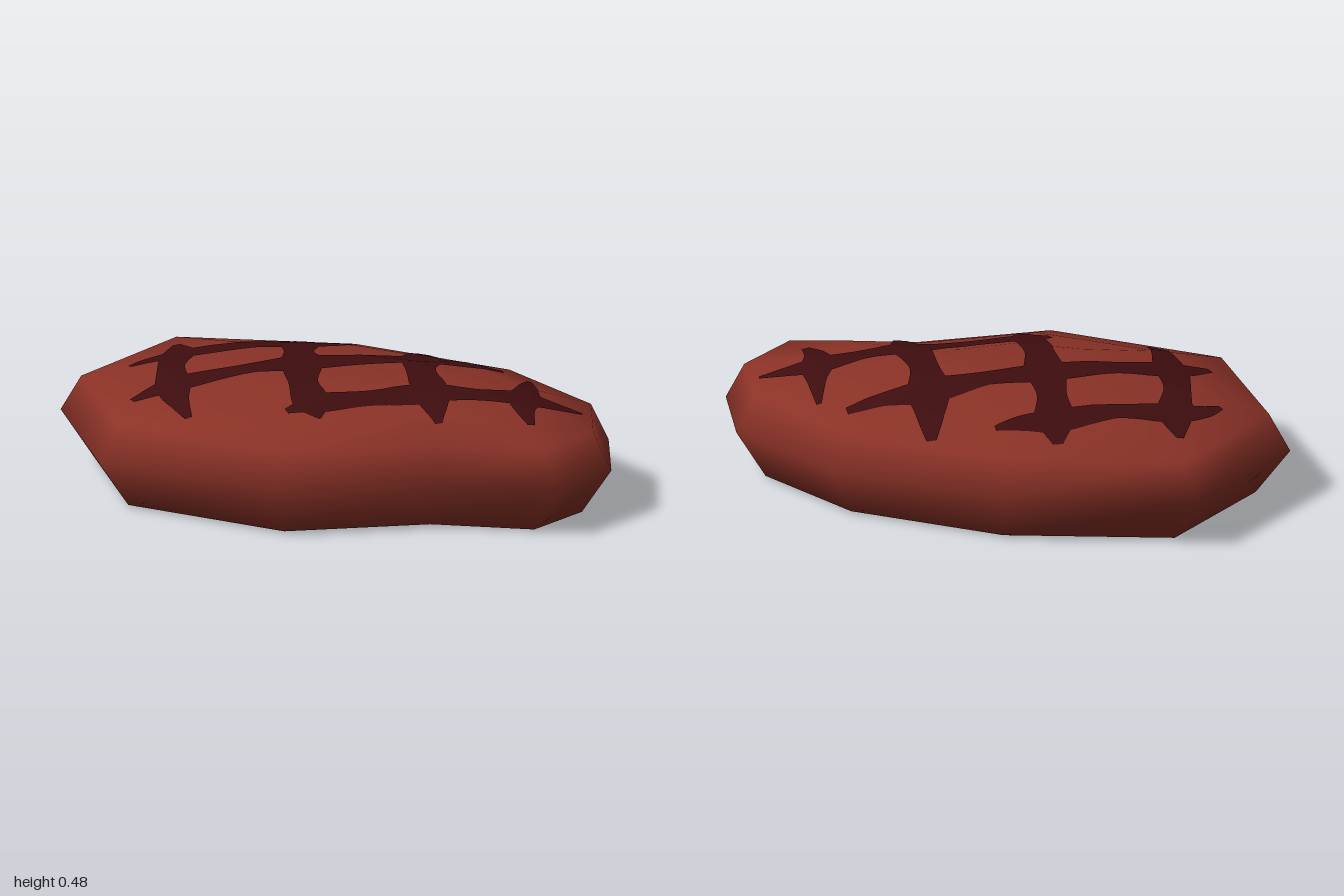
import * as THREE from 'three';

const meat = new THREE.MeshStandardMaterial({ color: 0x8b3227 });
meat.name = 'seared meat';
const char = new THREE.MeshStandardMaterial({ color: 0x3f0d0f });
char.name = 'grill char';

// Outline at the widest level, x and z, clockwise from above
const OUTLINE = [
  [-0.33, -1], [0.35, -0.63], [0.84, -0.07], [1, 0.48], [0.87, 0.84],
  [0.58, 0.99], [0.17, 0.75], [-0.48, 0.6], [-1, 0], [-0.9, -0.67],
];
const CX = 0.06, CZ = 0.1;
// Rings from bottom to top: x scale, z scale, height
const RINGS = [
  [0.885, 0.885, 0.01], [1, 1, 0.2], [0.93, 0.93, 0.35], [0.68, 0.66, 0.415], [0.37, 0.28, 0.47],
];

function steakGeometry() {
  const n = OUTLINE.length, pos = [], idx = [];
  for (const [fx, fz, y] of RINGS)
    for (const [x, z] of OUTLINE) pos.push(CX + (x - CX) * fx, y, CZ + (z - CZ) * fz);
  const bottom = pos.length / 3, top = bottom + 1, last = (RINGS.length - 1) * n;
  pos.push(CX, 0.01, CZ, CX, 0.474, CZ);
  for (let i = 0; i < n; i++) {
    const j = (i + 1) % n;
    for (let r = 0; r < last; r += n) {
      const a = r + i, b = r + j;
      idx.push(a, a + n, b, b, a + n, b + n);
    }
    idx.push(bottom, i, j, top, last + j, last + i);
  }
  return makeGeometry(pos, idx);
}

function makeGeometry(pos, idx) {
  const g = new THREE.BufferGeometry();
  g.setAttribute('position', new THREE.Float32BufferAttribute(pos, 3));
  g.setIndex(idx);
  g.computeVertexNormals();
  return g;
}

// Grill bars: x, z and width along each bar, wider where bars cross
const BARS = {
  crossBarBack: [[-0.65, -0.55, 0.03], [-0.56, -0.57, 0.09], [-0.42, -0.56, 0.15], [-0.2, -0.5, 0.12], [0.04, -0.46, 0.16], [0.16, -0.42, 0.11], [0.28, -0.4, 0.03]],
  crossBarMiddle: [[-0.79, -0.17, 0.04], [-0.6, -0.18, 0.16], [-0.36, -0.14, 0.12], [-0.09, -0.1, 0.18], [0.15, -0.05, 0.13], [0.39, -0.02, 0.17], [0.55, 0.03, 0.11], [0.71, 0.07, 0.05]],
  crossBarFront: [[-0.32, 0.32, 0.04], [-0.2, 0.32, 0.13], [0.02, 0.35, 0.11], [0.27, 0.4, 0.16], [0.45, 0.45, 0.11], [0.63, 0.49, 0.16], [0.73, 0.54, 0.1], [0.84, 0.6, 0.02]],
  longBarRight: [[-0.37, -0.75, 0.03], [-0.43, -0.58, 0.14], [-0.54, -0.38, 0.11], [-0.61, -0.18, 0.14], [-0.66, 0, 0.09], [-0.67, 0.14, 0.03]],
  longBarMiddle: [[0.1, -0.6, 0.04], [0.04, -0.45, 0.16], [-0.03, -0.28, 0.12], [-0.09, -0.1, 0.17], [-0.17, 0.12, 0.12], [-0.21, 0.32, 0.14], [-0.22, 0.43, 0.01]],
  longBarLeft: [[0.52, -0.31, 0.04], [0.46, -0.18, 0.11], [0.39, -0.02, 0.17], [0.32, 0.16, 0.12], [0.27, 0.4, 0.15], [0.22, 0.61, 0.03]],
  shortBarLeft: [[0.77, 0.2, 0.02], [0.7, 0.36, 0.08], [0.63, 0.5, 0.14], [0.59, 0.6, 0.09], [0.57, 0.73, 0.03]],
};

// Ribbon that follows a bar and takes its height from the surface below it
function barGeometry(points, heightAt, flip) {
  const curve = new THREE.CatmullRomCurve3(points.map(([x, z, w]) => new THREE.Vector3(x, w, z)));
  const steps = 40, across = 4, pos = [], idx = [];
  for (let i = 0; i <= steps; i++) {
    const p = curve.getPoint(i / steps), t = curve.getTangent(i / steps);
    const len = Math.hypot(t.x, t.z), w = Math.max(p.y, 0.01);
    for (let k = 0; k <= across; k++) {
      const s = (0.5 - k / across) * w / len;
      const x = p.x + t.z * s, z = p.z - t.x * s;
      pos.push(x, heightAt(x, z), z);
      if (i === steps || k === across) continue;
      const a = i * (across + 1) + k, b = a + 1, c = a + across + 1, d = c + 1;
      if (flip) idx.push(a, d, b, a, c, d);
      else idx.push(a, b, d, a, d, c);
    }
  }
  return makeGeometry(pos, idx);
}

export function createModel() {
  const model = new THREE.Group();
  model.name = 'steak';

  const body = new THREE.Mesh(steakGeometry(), meat);
  body.name = 'steakBody';
  model.add(body);

  // Height of the top face, found by dropping a ray on it
  const ray = new THREE.Raycaster();
  const down = new THREE.Vector3(0, -1, 0);
  const topHeight = (x, z) => {
    ray.set(new THREE.Vector3(x, 2, z), down);
    const hit = ray.intersectObject(body)[0];
    return (hit ? hit.point.y : 0.35) + 0.005;
  };

  // The same grill pattern on the top and the underside
  const sides = [['topGrillMarks', topHeight, false], ['bottomGrillMarks', () => 0, true]];
  for (const [name, heightAt, flip] of sides) {
    const marks = new THREE.Group();
    marks.name = name;
    for (const [bar, points] of Object.entries(BARS)) {
      const mesh = new THREE.Mesh(barGeometry(points, heightAt, flip), char);
      mesh.name = bar;
      marks.add(mesh);
    }
    model.add(marks);
  }
  return model;
}
